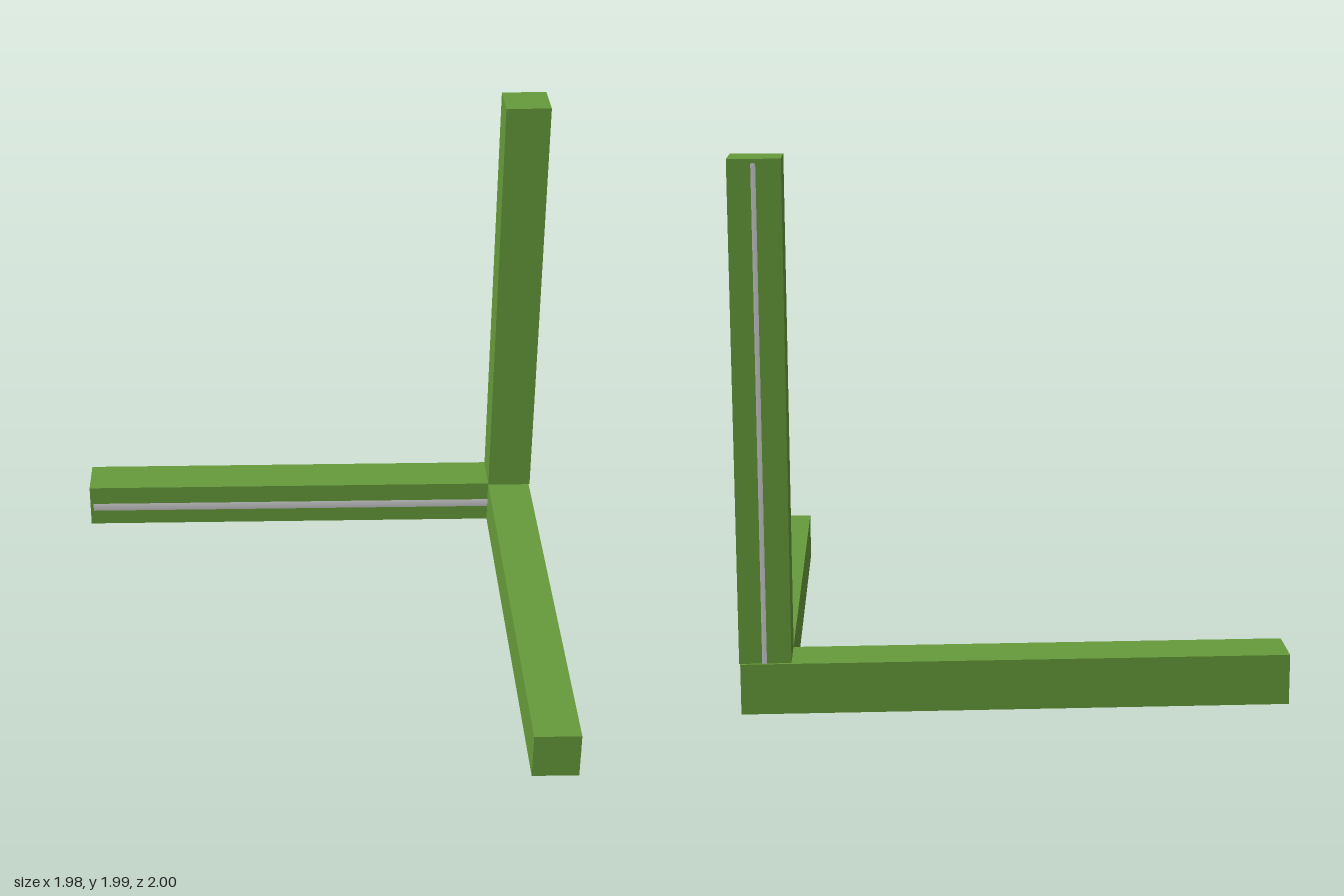
import * as THREE from 'three';

const green = new THREE.MeshStandardMaterial({ color: 0x669a3a });
const grey = new THREE.MeshStandardMaterial({ color: 0xcccccc });

// Box given by its two opposite corners
function beam(name, min, max) {
  const size = max.map((v, i) => v - min[i]);
  const mesh = new THREE.Mesh(new THREE.BoxGeometry(...size), green);
  mesh.position.set(...max.map((v, i) => (v + min[i]) / 2));
  mesh.name = name;
  return mesh;
}

// Eight-sided rod from the shared corner, its edges just breaking through the beam faces
const corner = new THREE.Vector3(0.894, 0.0935, -0.9);
const radius = 0.0935;
function rod(name, direction, length) {
  const dir = new THREE.Vector3(...direction);
  const mesh = new THREE.Mesh(new THREE.CylinderGeometry(radius, radius, length, 8), grey);
  mesh.quaternion.setFromUnitVectors(new THREE.Vector3(0, 1, 0), dir);
  mesh.position.copy(corner).addScaledVector(dir, length / 2);
  mesh.name = name;
  return mesh;
}

export function createModel() {
  const group = new THREE.Group();
  group.name = 'threeWayCornerFrame';

  // Square beams meeting at the back left corner
  group.add(
    beam('crossBeam', [-0.988, 0.008, -1], [0.979, 0.194, -0.814]),
    beam('forwardBeam', [0.799, 0.008, -0.995], [0.98, 0.194, 1]),
    beam('uprightBeam', [0.799, 0.194, -0.99], [0.984, 1.985, -0.804])
  );

  // Rods inside the beams
  group.add(
    rod('crossRod', [-1, 0, 0], 1.868),
    rod('forwardRod', [0, 0, 1], 1.87),
    rod('uprightRod', [0, 1, 0], 1.875)
  );
  return group;
}
